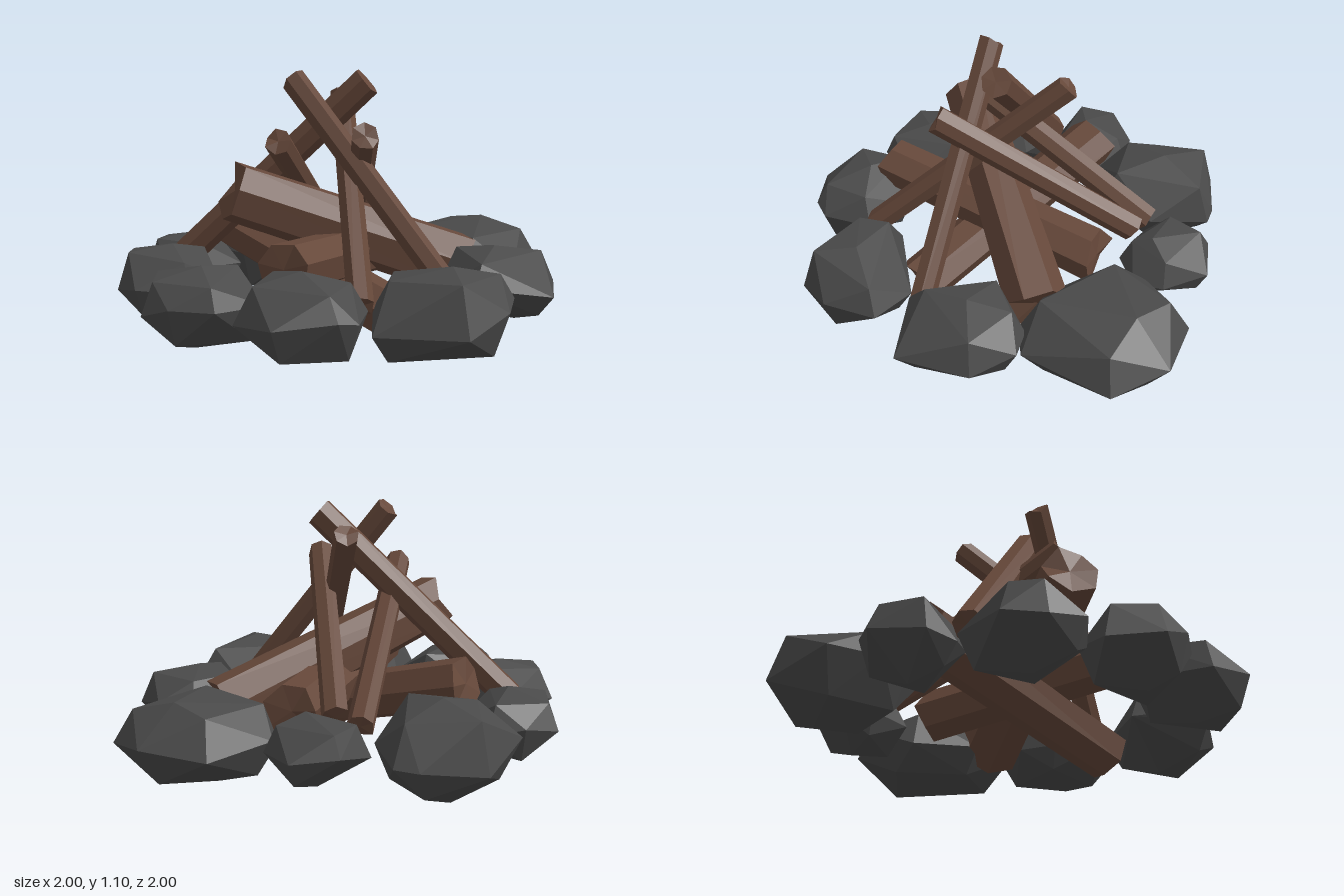
import * as THREE from 'three';
import { ConvexGeometry } from 'three/addons/geometries/ConvexGeometry.js';

// small seeded random number in -1..1
let seed = 7;
function rand() {
  seed = (seed * 16807) % 2147483647;
  return (seed / 2147483647) * 2 - 1;
}

const stoneMat = new THREE.MeshStandardMaterial({ color: 0x4a4a4a, flatShading: true });
const woodMat = new THREE.MeshStandardMaterial({ color: 0x66483a, flatShading: true });

// Faceted boulder: hull of a widest outline (x, z pairs) with shrunken rings above
// and below, a crown and a foot (each x, y, z)
function stone(name, crown, foot, outline) {
  const ring = [];
  for (let i = 0; i < outline.length; i += 2) ring.push([outline[i], outline[i + 1]]);
  const cx = ring.reduce((s, p) => s + p[0], 0) / ring.length;
  const cz = ring.reduce((s, p) => s + p[1], 0) / ring.length;
  const high = crown[1];
  const low = foot[1];
  const mid = (low + high) / 2;
  const half = (high - low) / 2;
  const points = [new THREE.Vector3(...crown), new THREE.Vector3(...foot)];
  ring.forEach(([x, z], i) => {
    points.push(new THREE.Vector3(x, mid + rand() * 0.2 * half, z));
    // upper and lower corners on alternating outline directions
    const up = i % 2 === 0;
    const k = 0.76 + rand() * 0.05;
    const y = up ? high - half * (0.22 + 0.08 * rand()) : low + half * (0.26 + 0.08 * rand());
    points.push(new THREE.Vector3(cx + (x - cx) * k, y, cz + (z - cz) * k));
  });
  const mesh = new THREE.Mesh(new ConvexGeometry(points), stoneMat);
  mesh.name = name;
  return mesh;
}

// Rough seven-sided piece of wood between two end centres
function wood(name, from, to, r0, r1) {
  const a = new THREE.Vector3(...from);
  const b = new THREE.Vector3(...to);
  const length = a.distanceTo(b);
  const sides = 7;
  const geo = new THREE.CylinderGeometry(r1, r0, length, sides, 1);
  // uneven cross-section and slightly ragged ends, matched between sides and caps
  const wobble = Array.from({ length: sides }, () => 1 + rand() * 0.07);
  const ragged = Array.from({ length: sides * 2 }, () => rand() * 0.2);
  const pos = geo.attributes.position;
  for (let i = 0; i < pos.count; i++) {
    const x = pos.getX(i), y = pos.getY(i), z = pos.getZ(i);
    if (Math.hypot(x, z) < 1e-4) continue;
    const turn = Math.round((Math.atan2(x, z) / (2 * Math.PI)) * sides);
    const k = (turn + sides) % sides;
    const end = y > 0 ? k : k + sides;
    pos.setXYZ(i, x * wobble[k], y + ragged[end] * r0, z * wobble[k]);
  }
  geo.computeVertexNormals();
  const mesh = new THREE.Mesh(geo, woodMat);
  mesh.name = name;
  mesh.position.copy(a).add(b).multiplyScalar(0.5);
  mesh.quaternion.setFromUnitVectors(new THREE.Vector3(0, 1, 0), b.sub(a).normalize());
  return mesh;
}

export function createModel() {
  seed = 7;
  const model = new THREE.Group();
  model.name = 'campfire';

  // ring of stones
  const stones = new THREE.Group();
  stones.name = 'stoneRing';
  stones.add(
    stone('backStone', [-0.02, 0.43, -0.72], [0, 0.04, -0.8],
      [-0.02, -1, 0.2, -0.87, 0.27, -0.8, 0.18, -0.55, -0.03, -0.4, -0.27, -0.51, -0.31, -0.64, -0.31, -0.85]),
    stone('backLeftStone', [0.41, 0.37, -0.42], [0.42, 0.1, -0.52],
      [0.43, -0.7, 0.59, -0.6, 0.58, -0.39, 0.49, -0.29, 0.33, -0.31, 0.22, -0.5, 0.24, -0.62]),
    stone('leftStone', [0.82, 0.395, -0.12], [0.64, 0.045, -0.13],
      [0.81, -0.38, 1, -0.18, 1, 0.08, 0.67, 0.31, 0.51, 0.25, 0.38, 0.05, 0.43, -0.24, 0.51, -0.34]),
    stone('frontLeftStone', [0.45, 0.385, 0.45], [0.48, 0.09, 0.55],
      [0.58, 0.25, 0.7, 0.34, 0.7, 0.54, 0.49, 0.78, 0.22, 0.62, 0.22, 0.36, 0.35, 0.25]),
    stone('frontStone', [0, 0.41, 0.77], [-0.06, 0.05, 0.72],
      [-0.18, 0.52, 0.18, 0.6, 0.28, 0.79, 0.12, 0.96, -0.09, 1, -0.36, 0.78, -0.29, 0.67]),
    stone('frontRightStone', [-0.52, 0.41, 0.55], [-0.55, 0.09, 0.58],
      [-0.56, 0.33, -0.38, 0.42, -0.29, 0.64, -0.43, 0.81, -0.52, 0.82, -0.73, 0.72, -0.78, 0.51]),
    stone('rightStone', [-0.76, 0.385, 0.18], [-0.8, 0.07, 0.2],
      [-0.9, -0.03, -0.69, -0.02, -0.54, 0.12, -0.57, 0.35, -0.8, 0.4, -0.94, 0.29, -1, 0.16]),
    stone('rightRearStone', [-0.72, 0.395, -0.23], [-0.76, 0.075, -0.24],
      [-0.88, -0.42, -0.58, -0.45, -0.53, -0.24, -0.56, -0.13, -0.74, -0.01, -0.93, -0.11, -0.95, -0.27]),
    stone('backRightStone', [-0.5, 0.37, -0.55], [-0.5, 0.07, -0.6],
      [-0.57, -0.78, -0.41, -0.76, -0.29, -0.67, -0.31, -0.45, -0.5, -0.38, -0.66, -0.48, -0.7, -0.61]),
  );
  model.add(stones);

  // thick logs stacked in the middle
  const logs = new THREE.Group();
  logs.name = 'logs';
  logs.add(
    wood('upperLog', [0.46, 0.255, 0.145], [-0.55, 0.64, 0.035], 0.142, 0.12),
    wood('crossLog', [0.34, 0.3, -0.19], [-0.53, 0.39, 0.425], 0.12, 0.11),
    wood('lowerLog', [0, 0.112, 0.5], [-0.31, 0.395, -0.5], 0.115, 0.12),
  );
  model.add(logs);

  // thin sticks leaning together, bottom end first
  const sticks = new THREE.Group();
  sticks.name = 'sticks';
  [
    [[-0.62, 0.28, -0.42], [0.01, 1.07, 0.13], 0.064],
    [[0.22, 0.14, 0.59], [-0.28, 1.08, 0.03], 0.054],
    [[-0.3, 0.26, 0.6], [0.065, 1, -0.17], 0.054],
    [[0.27, 0.32, -0.41], [-0.125, 0.865, 0.345], 0.058],
    [[0.22, 0.3, -0.51], [-0.38, 0.835, 0.09], 0.057],
  ].forEach(([from, to, r]) => sticks.add(wood('stick', from, to, r, r)));
  model.add(sticks);

  return model;
}
